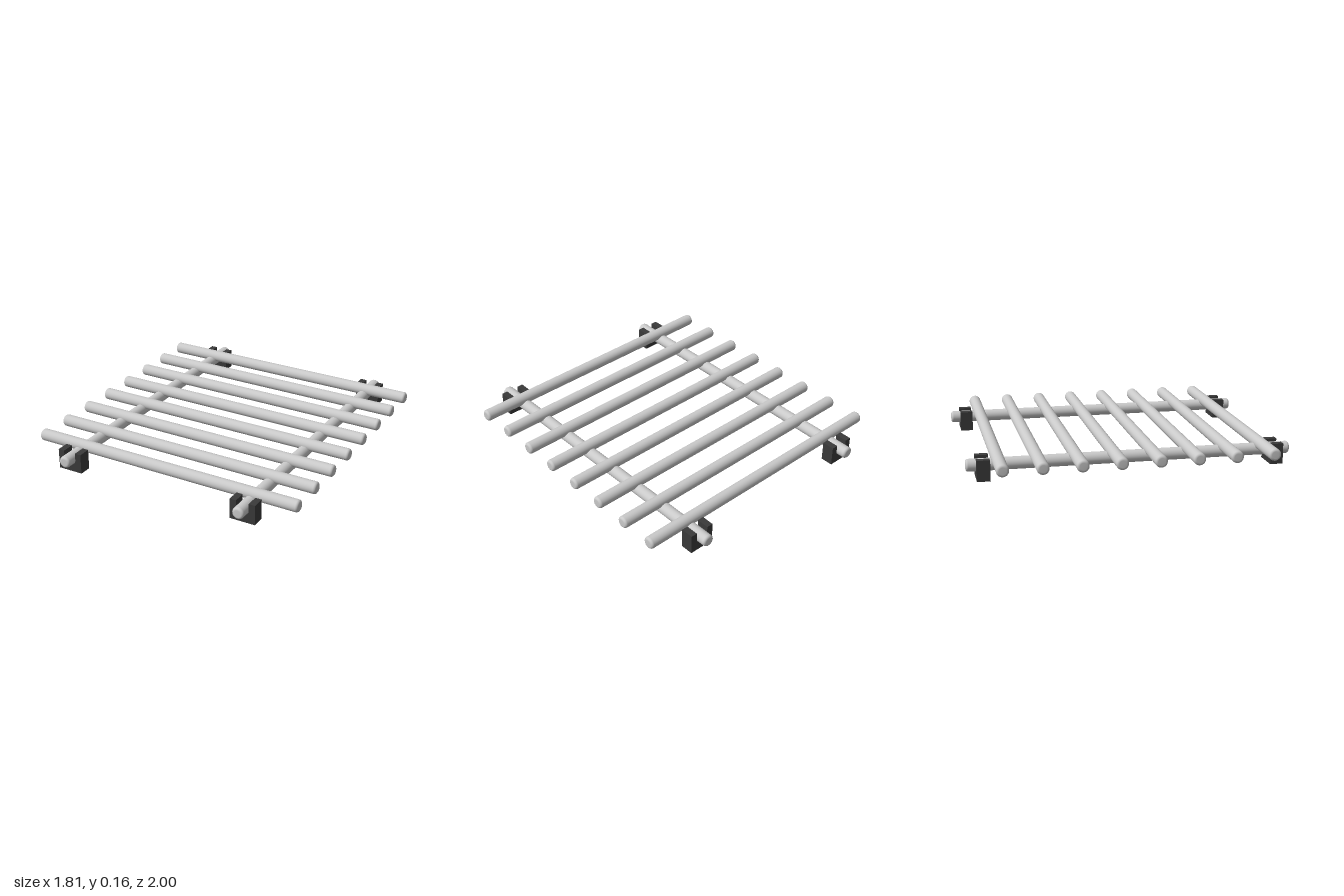
import * as THREE from 'three';

const BAR_RADIUS = 0.038;

// Solid round bar along y with softly rounded ends
function barGeometry(length) {
  const half = length / 2, r = BAR_RADIUS, f = 0.016;
  const end = [[0, half], [r - f, half]];
  for (let i = 1; i <= 4; i++) {
    const a = (i / 4) * Math.PI / 2;
    end.push([r - f + f * Math.sin(a), half - f + f * Math.cos(a)]);
  }
  const lower = end.map(([x, y]) => new THREE.Vector2(x, -y));
  const upper = end.map(([x, y]) => new THREE.Vector2(x, y)).reverse();
  return new THREE.LatheGeometry([...lower, ...upper], 32);
}

// Foot block with a U-shaped cradle open at the top
function footGeometry(depth) {
  const w = 0.082, h = 0.128, slot = 0.041, cy = 0.083;
  const s = new THREE.Shape();
  s.moveTo(-w, 0);
  s.lineTo(w, 0);
  s.lineTo(w, h);
  s.lineTo(slot, h);
  s.lineTo(slot, cy);
  s.absarc(0, cy, slot, 0, -Math.PI, true);
  s.lineTo(-slot, h);
  s.lineTo(-w, h);
  s.closePath();
  const g = new THREE.ExtrudeGeometry(s, { depth, bevelEnabled: false, curveSegments: 16 });
  return g.translate(0, 0, -depth / 2);
}

export function createModel() {
  const model = new THREE.Group();
  model.name = 'slattedRack';

  const metal = new THREE.MeshStandardMaterial({ color: 0xcacaca });
  metal.name = 'light grey';
  const rubber = new THREE.MeshStandardMaterial({ color: 0x3a3a3a });
  rubber.name = 'dark grey';

  const add = (name, geometry, material, x, y, z) => {
    const mesh = new THREE.Mesh(geometry, material);
    mesh.name = name;
    mesh.position.set(x, y, z);
    model.add(mesh);
  };

  const rail = barGeometry(2).rotateX(Math.PI / 2);
  const slat = barGeometry(1.81).rotateZ(Math.PI / 2);
  const foot = footGeometry(0.08);

  // Two long rails, each resting in a front and a back foot
  for (const side of [-1, 1]) {
    const label = side > 0 ? 'left' : 'right';
    add(`${label}Rail`, rail, metal, side * 0.605, 0.082, 0);
    add(`${label}FrontFoot`, foot, rubber, side * 0.605, 0, 0.9);
    add(`${label}BackFoot`, foot, rubber, side * 0.605, 0, -0.9);
  }

  // Eight evenly spaced cross slats
  for (let i = 0; i < 8; i++) {
    add(`slat${i + 1}`, slat, metal, 0, 0.121, -0.811 + i * (1.622 / 7));
  }
  return model;
}
